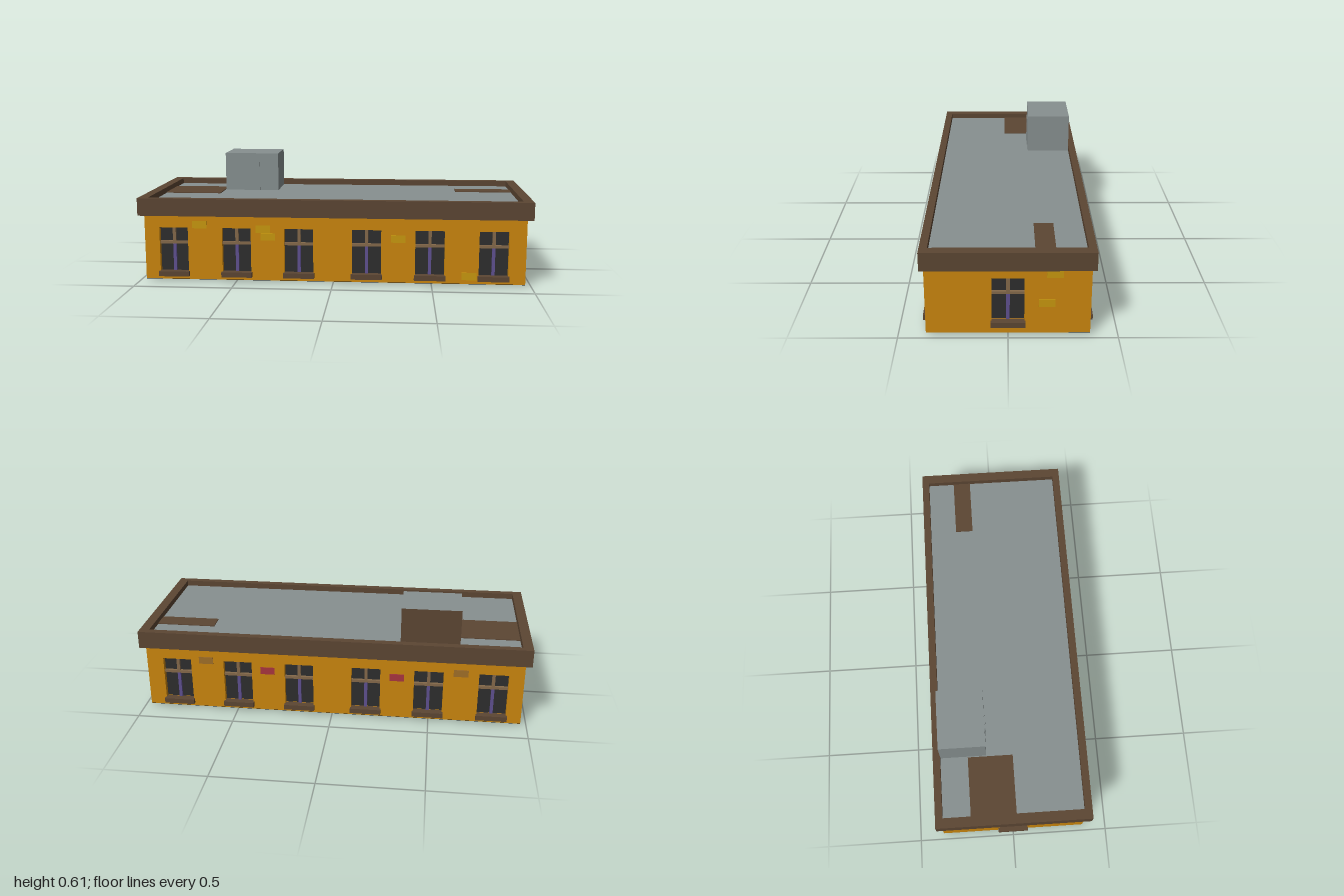
import * as THREE from 'three';

const mat = (name, color, opts = {}) => new THREE.MeshStandardMaterial({ name, color, ...opts });

export function createModel() {
  const M = {
    wall: mat('ochre wall', 0xca860e),
    trim: mat('dark brown trim', 0x5c4633),
    roof: mat('roof grey', 0x879090),
    glass: mat('dark glass', 0x2e2e2e),
    wood: mat('window wood', 0x84694a),
    purple: mat('purple bar', 0x5f5090),
    gold: mat('gold brick', 0xc8980f),
    tan: mat('tan brick', 0xa06e28),
    red: mat('red brick', 0xa8353f),
    base: mat('black base', 0x1c1c1c),
  };
  const model = new THREE.Group();
  model.name = 'building';

  // box given by its min and max corners
  const box = (parent, name, material, [x0, y0, z0], [x1, y1, z1]) => {
    const m = new THREE.Mesh(new THREE.BoxGeometry(x1 - x0, y1 - y0, z1 - z0), material);
    m.position.set((x0 + x1) / 2, (y0 + y1) / 2, (z0 + z1) / 2);
    m.name = name;
    parent.add(m);
    return m;
  };
  const rect = (Cls, x0, y0, x1, y1) => {
    const p = new Cls();
    p.moveTo(x0, y0);
    p.lineTo(x1, y0);
    p.lineTo(x1, y1);
    p.lineTo(x0, y1);
    p.closePath();
    return p;
  };

  const T = 0.03; // wall thickness and window recess

  // one facade in a local frame: outer face at z = 0, facing +z
  function facade({ name, half, windows, y0, y1, bricks, angle, dist }) {
    const outer = new THREE.Group();
    const g = new THREE.Group();
    outer.name = name;
    g.position.z = dist;
    outer.rotation.y = angle;
    outer.add(g);
    const w = 0.074;
    const shape = rect(THREE.Shape, -half, 0.01, half, 0.345);
    for (const c of windows) shape.holes.push(rect(THREE.Path, c - w, y0, c + w, y1));
    const wall = new THREE.Mesh(new THREE.ExtrudeGeometry(shape, { depth: T, bevelEnabled: false }), M.wall);
    wall.position.z = -T;
    wall.name = 'wall';
    g.add(wall);
    for (const c of windows) {
      const win = new THREE.Group();
      win.name = 'window';
      win.position.x = c;
      g.add(win);
      const bar = y1 - 0.087; // transom bottom
      box(win, 'glass', M.glass, [-w - 0.004, y0 - 0.004, -T - 0.006], [w + 0.004, y1 + 0.004, -T + 0.004]);
      box(win, 'transom', M.wood, [-w, bar, -T], [w, bar + 0.014, -0.012]);
      box(win, 'upperMullion', M.wood, [-0.008, bar + 0.014, -T], [0.008, y1, -0.012]);
      box(win, 'lowerMullion', M.purple, [-0.008, y0, -T], [0.008, bar, -0.014]);
      box(win, 'sill', M.trim, [-0.079, y0 - 0.024, -0.02], [0.079, y0 + 0.002, 0.019]);
    }
    for (const [x, y, material] of bricks) {
      box(g, 'brick', material, [x - 0.037, y - 0.019, -0.004], [x + 0.037, y + 0.019, 0.004]);
    }
    model.add(outer);
  }

  const centres = [-0.82, -0.495, -0.175, 0.17, 0.49, 0.81];
  const long = { half: 0.97, y0: 0.05, y1: 0.28, dist: 0.374 };
  const short = { half: 0.344, windows: [0], y0: 0.07, y1: 0.29, dist: 0.97 };
  facade({ ...long, name: 'frontFacade', angle: 0, windows: centres,
    bricks: [[-0.685, 0.297], [-0.358, 0.278], [-0.333, 0.238], [0.33, 0.237], [0.688, 0.049]].map(b => [...b, M.gold]) });
  facade({ ...long, name: 'backFacade', angle: Math.PI, windows: centres.map(c => -c),
    bricks: [[-0.655, 0.28, M.tan], [0.655, 0.28, M.tan], [-0.333, 0.238, M.red], [0.333, 0.238, M.red]] });
  for (const s of [1, -1]) {
    facade({ ...short, name: s > 0 ? 'leftFacade' : 'rightFacade', angle: s * Math.PI / 2,
      bricks: [[s * 0.21, 0.313, M.gold], [s * 0.175, 0.165, M.gold]] });
  }

  // cornice ring standing above the roof deck
  const ring = rect(THREE.Shape, -1, -0.392, 1, 0.392);
  ring.holes.push(rect(THREE.Path, -0.95, -0.355, 0.95, 0.355));
  const cornice = new THREE.Mesh(new THREE.ExtrudeGeometry(ring, { depth: 0.09, bevelEnabled: false }), M.trim);
  cornice.rotation.x = -Math.PI / 2;
  cornice.position.y = 0.342;
  cornice.name = 'cornice';
  model.add(cornice);

  // roof deck and its brown patches
  box(model, 'roofDeck', M.roof, [-0.955, 0.375, -0.36], [0.955, 0.402, 0.36]);
  box(model, 'roofPatch', M.trim, [-0.95, 0.4, -0.215], [-0.648, 0.406, 0.015]);
  box(model, 'roofPatch', M.trim, [0.645, 0.4, -0.215], [0.95, 0.406, -0.122]);

  // stair house with brown back wall and a door
  const house = box(model, 'stairHouse', M.roof, [-0.643, 0.4, -0.354], [-0.346, 0.61, -0.12]);
  house.material = [M.roof, M.roof, M.roof, M.roof, M.roof, M.trim];
  box(model, 'stairHouseDoor', M.roof, [-0.54, 0.402, -0.122], [-0.45, 0.56, -0.115]);

  // underside
  box(model, 'baseSlab', M.base, [-0.95, 0.01, -0.36], [0.95, 0.02, 0.36]);
  box(model, 'baseRim', M.base, [-0.969, 0.008, -0.373], [0.969, 0.012, 0.373]);
  box(model, 'floorPlate', M.roof, [-0.895, 0, -0.065], [0.895, 0.009, 0.305]);
  box(model, 'darkFloorPlate', M.base, [-0.895, 0, -0.307], [0.895, 0.009, -0.065]);

  return model;
}
